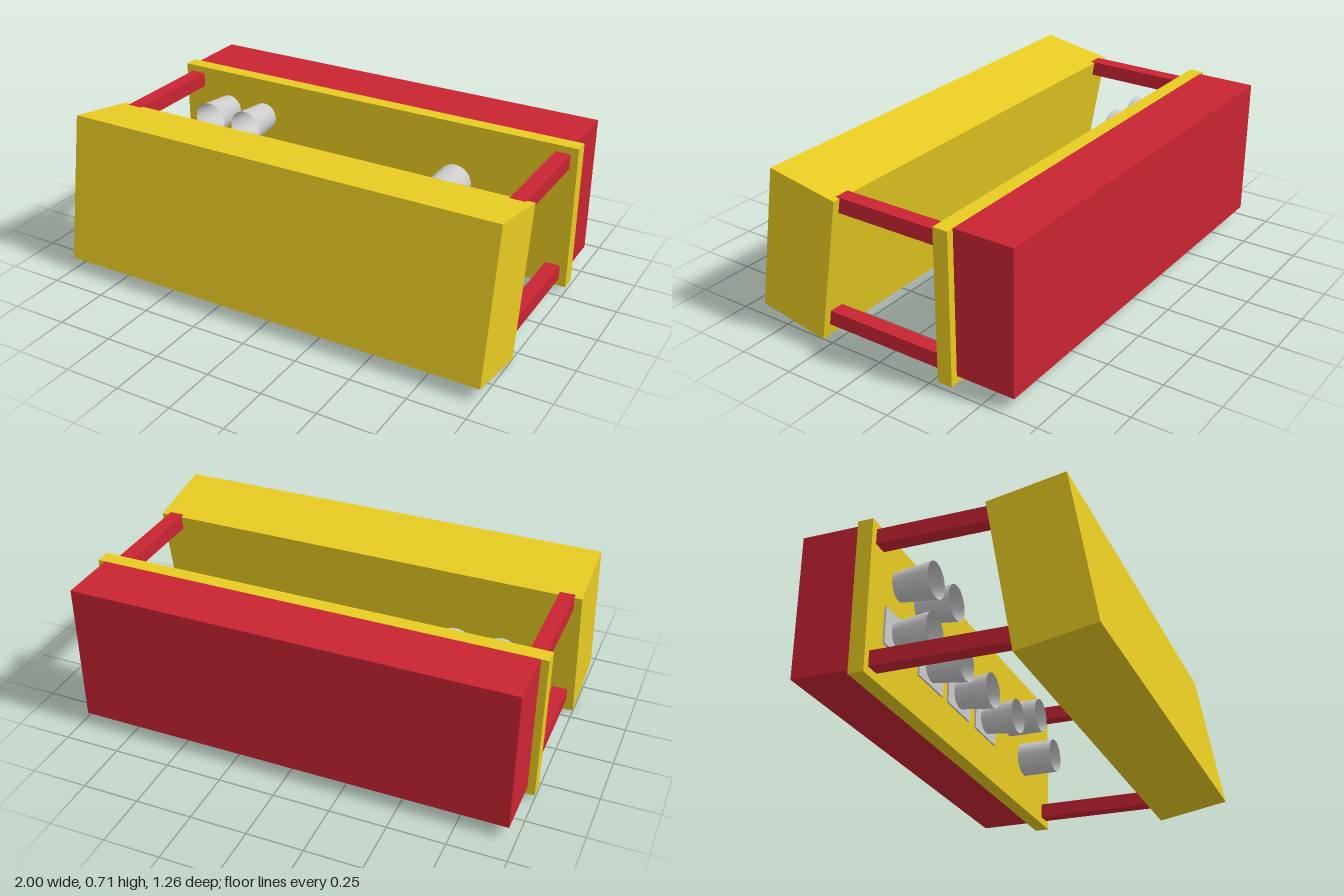
import * as THREE from 'three';

export function createModel() {
  const model = new THREE.Group();
  const yellow = new THREE.MeshStandardMaterial({ color: 0xe8cb22 });
  const red = new THREE.MeshStandardMaterial({ color: 0xc92432 });
  const grey = new THREE.MeshStandardMaterial({ color: 0xcccccc, side: THREE.DoubleSide });

  function box(name, material, size, position) {
    const mesh = new THREE.Mesh(new THREE.BoxGeometry(...size), material);
    mesh.name = name;
    mesh.position.set(...position);
    model.add(mesh);
    return mesh;
  }

  // Open tube facing forward from the panel
  function cup(name, x, y, backRadius) {
    const depth = 0.166;
    const geometry = new THREE.CylinderGeometry(0.08, backRadius, depth, 32, 1, true);
    geometry.rotateX(Math.PI / 2);
    const mesh = new THREE.Mesh(geometry, grey);
    mesh.name = name;
    mesh.position.set(x, y, -0.293 + depth / 2);
    model.add(mesh);
  }

  // Front block leaning back, rear panel and rear block
  box('frontBlock', yellow, [2, 0.666, 0.333], [0, 0.358, 0.407]).rotation.x = -Math.PI / 18;
  box('rearPanel', yellow, [2, 0.667, 0.067], [0, 0.358, -0.327]);
  box('rearBlock', red, [1.934, 0.633, 0.267], [0, 0.375, -0.493]);

  // Four connecting bars, running slightly into the leaning block
  for (const side of [-1, 1]) {
    for (const [name, y, front] of [['upperBar', 0.627, 0.22], ['lowerBar', 0.092, 0.31]]) {
      box(name, red, [0.067, 0.067, front + 0.293], [side * 0.933, y, (front - 0.293) / 2]);
    }
  }

  // Upper tapered cups
  for (const x of [-0.755, -0.555]) cup('upperCup', x, 0.51, 0.063);

  // Lower tapered cups on thin base plates
  for (const x of [-0.75, -0.44, -0.15, 0.148]) {
    cup('lowerCup', x, 0.285, 0.06);
    box('cupBasePlate', grey, [0.233, 0.16, 0.008], [x, 0.285, -0.289]);
  }

  // Straight cups
  cup('straightCup', 0.447, 0.41, 0.08);
  cup('straightCup', 0.647, 0.276, 0.08);

  return model;
}
